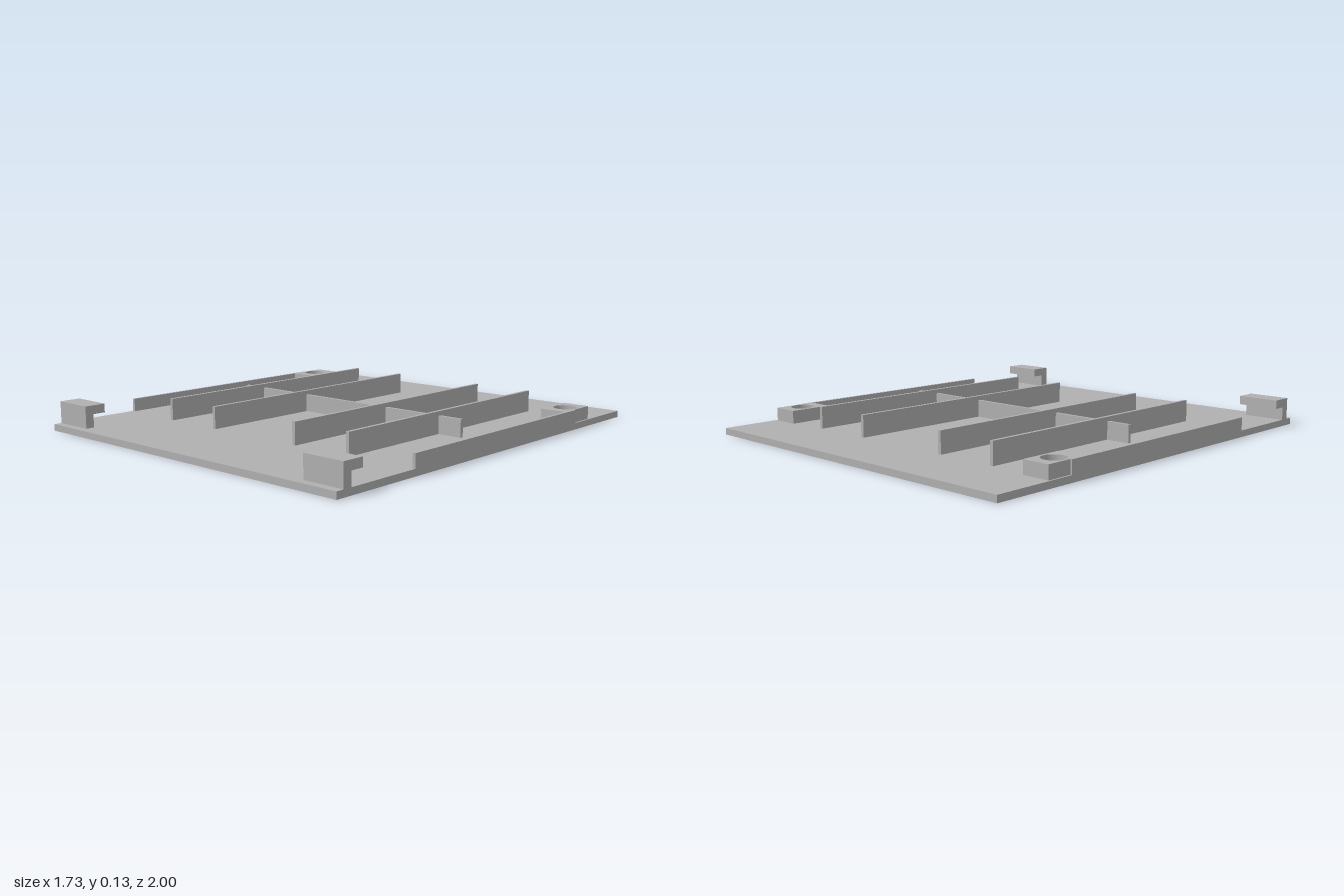
import * as THREE from 'three';

export function createModel() {
  const model = new THREE.Group();
  model.name = 'ribbedCoverPlate';
  const grey = new THREE.MeshStandardMaterial({ color: 0xb0b0b0 });
  grey.name = 'grey';

  const add = (name, geometry) => {
    const mesh = new THREE.Mesh(geometry, grey);
    mesh.name = name;
    model.add(mesh);
    return mesh;
  };
  // Box given by its limits on each axis
  const box = (name, x0, x1, y0, y1, z0, z1) =>
    add(name, new THREE.BoxGeometry(x1 - x0, y1 - y0, z1 - z0))
      .position.set((x0 + x1) / 2, (y0 + y1) / 2, (z0 + z1) / 2);

  const top = 0.03;
  box('basePlate', -0.865, 0.865, 0, top, -1, 1);

  // Stiffening ribs
  for (const x of [-0.545, -0.25, 0.245, 0.542])
    box('longRib', x - 0.008, x + 0.008, top, 0.13, -0.705, 0.585);
  box('crossRib', -0.667, 0.667, top, 0.11, -0.008, 0.008);

  for (const side of [-1, 1]) {
    const label = side > 0 ? 'left' : 'right';
    const sided = (name, a, b, ...rest) =>
      box(label + name, Math.min(side * a, side * b), Math.max(side * a, side * b), ...rest);

    // Low wall along the edge
    sided('SideWall', 0.851, 0.865, top, 0.09, -0.605, 0.565);

    // Screw boss with a round hole down to the plate
    const boss = new THREE.Shape();
    boss.moveTo(-0.065, -0.1).lineTo(0.062, -0.1).lineTo(0.062, 0.1).lineTo(-0.065, 0.1).closePath();
    const hole = new THREE.Path();
    hole.absarc(0, 0, 0.053, 0, Math.PI * 2, true);
    boss.holes.push(hole);
    const bossGeometry = new THREE.ExtrudeGeometry(boss, { depth: 0.06, bevelEnabled: false, curveSegments: 32 });
    bossGeometry.rotateX(-Math.PI / 2);
    if (side < 0) bossGeometry.rotateY(Math.PI);
    add(label + 'ScrewBoss', bossGeometry).position.set(side * 0.795, top, -0.627);

    // Hooked clip at the front corner, its lip pointing back
    const clip = new THREE.Shape();
    clip.moveTo(-0.963, top).lineTo(-0.923, top).lineTo(-0.923, 0.09).lineTo(-0.863, 0.09)
      .lineTo(-0.863, 0.13).lineTo(-0.963, 0.13).closePath();
    const clipGeometry = new THREE.ExtrudeGeometry(clip, { depth: 0.195, bevelEnabled: false });
    clipGeometry.rotateY(Math.PI / 2);
    add(label + 'FrontClip', clipGeometry).position.x = side > 0 ? 0.67 : -0.865;
  }
  return model;
}
